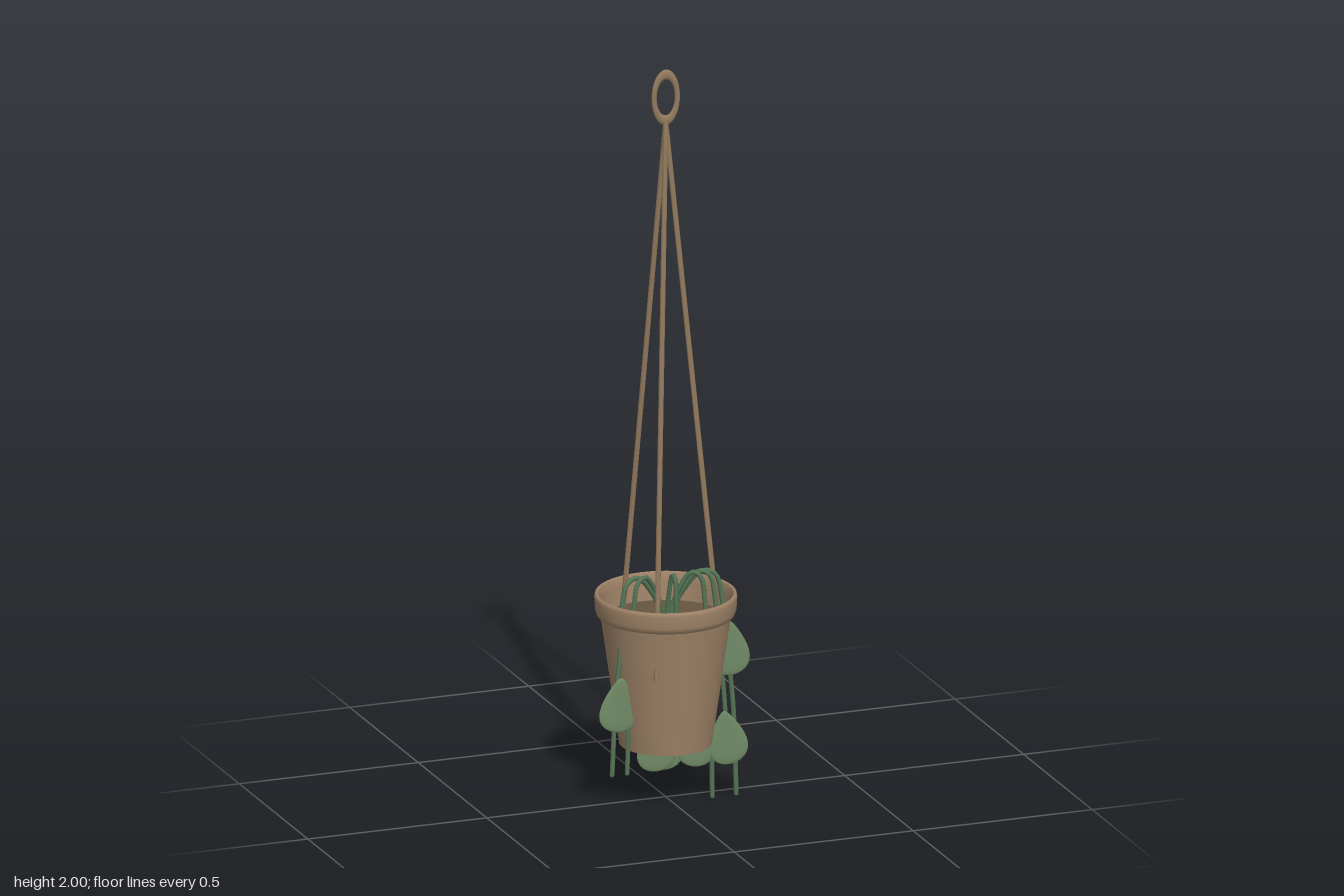
import * as THREE from 'three';

const mat = (name, color, side = THREE.FrontSide) => {
  const m = new THREE.MeshStandardMaterial({ color, side });
  m.name = name;
  return m;
};

export function createModel() {
  const group = new THREE.Group();
  const clay = mat('clay', 0xa08468, THREE.DoubleSide);
  const soilBrown = mat('soil brown', 0x67553f);
  const ropeTan = mat('rope tan', 0x937a5e);
  const leafGreen = mat('leaf green', 0x708a66);
  const stemGreen = mat('stem green', 0x567556);
  const baseClay = mat('base clay', 0x9c7660);

  const add = (name, geometry, material, x = 0, y = 0, z = 0) => {
    const mesh = new THREE.Mesh(geometry, material);
    mesh.name = name;
    mesh.position.set(x, y, z);
    group.add(mesh);
    return mesh;
  };
  const lathe = (name, points) =>
    add(name, new THREE.LatheGeometry(points.map(p => new THREE.Vector2(...p)), 48), clay);

  // Tapered pot, with its thicker rim
  lathe('potWall', [[0.122, 0.155], [0.138, 0.27], [0.154, 0.385], [0.171, 0.505]]);
  lathe('potRim', [[0.171, 0.505], [0.18, 0.508], [0.185, 0.522], [0.187, 0.555], [0.185, 0.564],
    [0.18, 0.566], [0.175, 0.562], [0.172, 0.54], [0.168, 0.485]]);
  const base = add('potBase', new THREE.CircleGeometry(0.122, 48), baseClay, 0, 0.155, 0);
  base.rotation.x = Math.PI / 2;

  // Soil surface
  const soil = add('soil', new THREE.CircleGeometry(0.17, 20), soilBrown, 0, 0.49, 0);
  soil.rotation.x = -Math.PI / 2;

  // Hanging ring, taller than wide
  const ring = add('hangingRing', new THREE.TorusGeometry(0.0325, 0.0072, 12, 40), ropeTan, 0, 1.923, 0);
  ring.scale.set(1, 1.93, 0.8);

  // Three ropes, their ends poking through the pot wall
  const top = new THREE.Vector3(0, 1.855, 0);
  const up = new THREE.Vector3(0, 1, 0);
  for (let i = 0; i < 3; i++) {
    const a = i * Math.PI * 2 / 3;
    const end = new THREE.Vector3(Math.cos(a) * 0.156, 0.37, Math.sin(a) * 0.156);
    const rope = add('rope', new THREE.CylinderGeometry(0.0075, 0.0075, top.distanceTo(end), 8), ropeTan);
    rope.position.copy(top).add(end).multiplyScalar(0.5);
    rope.quaternion.setFromUnitVectors(up, top.clone().sub(end).normalize());
    rope.scale.z = i === 0 ? 0.5 : 0.9;
  }

  // Trailing stems: rise from the soil, arch over and hang down [arch x, arch z, end x, end y]
  const stems = [
    [-0.14, 0.045, -0.172, 0.10], [-0.108, 0.05, -0.13, 0.10],
    [0.01, 0.05, 0.02, 0.17], [0.09, 0.05, 0.108, 0.01],
    [0.12, 0.047, 0.148, 0.17], [0.14, 0.044, 0.175, 0.01],
  ];
  for (const [x, z, endX, endY] of stems) {
    const curve = new THREE.CatmullRomCurve3([
      [0, 0.48, 0.005], [x * 0.3, 0.57, z * 0.35], [x * 0.65, 0.625, z * 0.7],
      [x * 0.88, 0.615, z * 0.92], [x, 0.55, z], [x + (endX - x) * 0.3, 0.42, 0.054],
      [x + (endX - x) * 0.75, 0.25 + endY * 0.2, 0.058], [endX, endY, 0.058],
    ].map(p => new THREE.Vector3(...p)));
    add('stem', new THREE.TubeGeometry(curve, 48, 0.0065, 8), stemGreen);
    add('stemTip', new THREE.SphereGeometry(0.0065, 8, 6), stemGreen, endX, endY + 0.001, 0.058);
  }

  // Leaf: flattened ball, narrow at the top and full at the bottom
  const leafGeometry = new THREE.SphereGeometry(1, 24, 16);
  const pos = leafGeometry.attributes.position;
  for (let i = 0; i < pos.count; i++) {
    const y = pos.getY(i);
    const w = 0.95 - 0.5 * y;
    pos.setXYZ(i, pos.getX(i) * w * 0.052, y * 0.074, pos.getZ(i) * 0.01 + 0.006 * y * y);
  }
  leafGeometry.computeVertexNormals();
  const leaves = [
    [-0.153, 0.293, 0.06, -0.05], [0.155, 0.415, 0.062, 0.05], [0.148, 0.17, 0.06, 0.15],
    [0.068, 0.172, 0.055, -0.12], [-0.05, 0.172, 0.056, 0.1], [-0.022, 0.172, 0.05, -0.08],
  ];
  for (const [x, y, z, tilt] of leaves) {
    add('leaf', leafGeometry, leafGreen, x, y, z).rotation.z = tilt;
  }
  return group;
}
